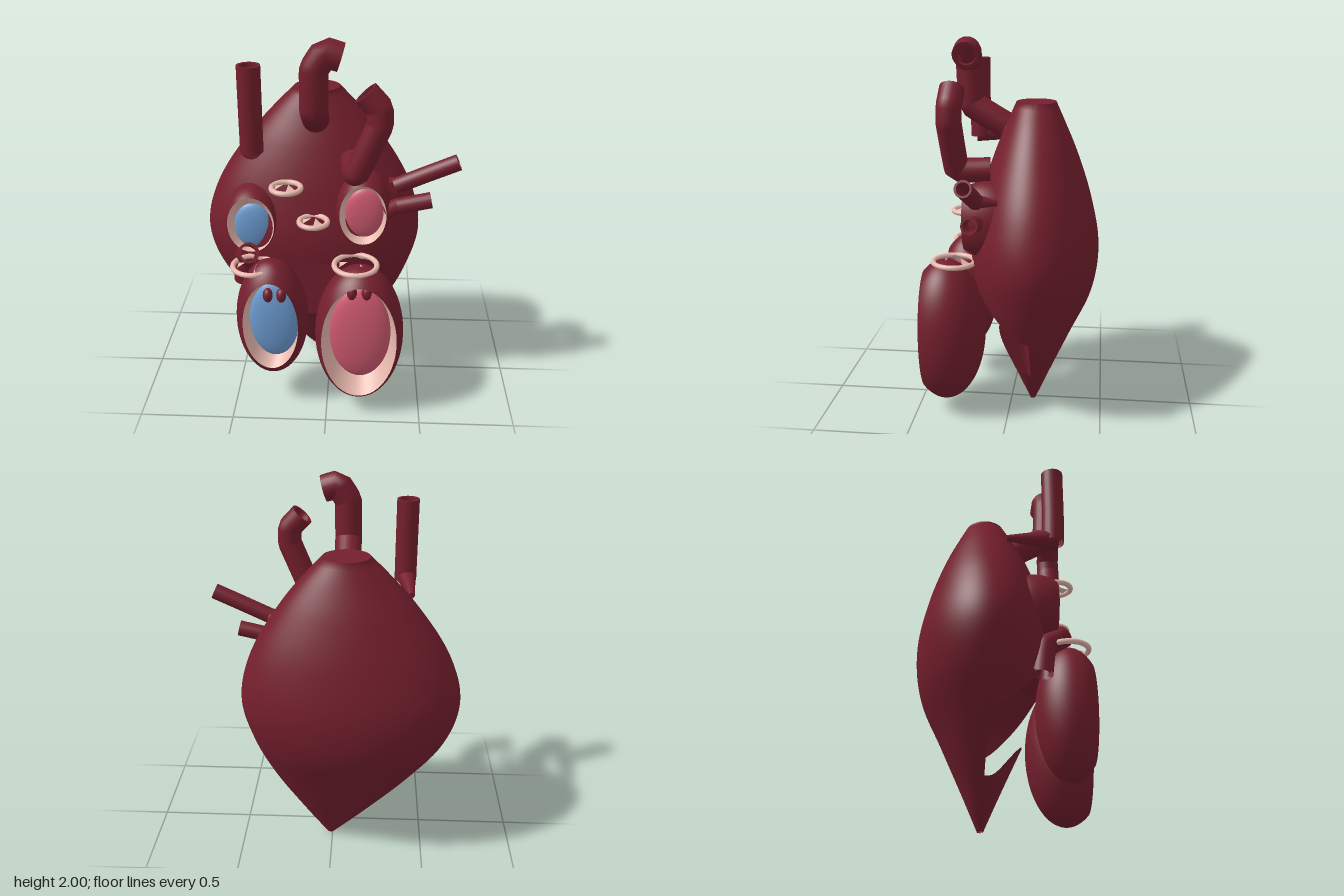
import * as THREE from 'three';
import { ParametricGeometry } from 'three/addons/geometries/ParametricGeometry.js';

const mat = (name, color, side = THREE.FrontSide) => {
  const m = new THREE.MeshStandardMaterial({ color, side });
  m.name = name;
  return m;
};

export function createModel() {
  const model = new THREE.Group();
  const muscle = mat('muscle red', 0x741f2d, THREE.DoubleSide);
  const lining = mat('lining cream', 0xe8b9ae, THREE.DoubleSide);
  const blue = mat('venous blue', 0x6c9bd0);
  const pink = mat('arterial pink', 0xcf5a70);

  const add = (name, geometry, material, parent = model) => {
    const mesh = new THREE.Mesh(geometry, material);
    mesh.name = name;
    parent.add(mesh);
    return mesh;
  };

  // Body profile: centre x, half width and half depth by height
  const heights = [0, 0.18, 0.44, 0.655, 0.88, 1.13, 1.4, 1.55, 1.667];
  const sections = [
    0.01, 0.02, 0.015, -0.02, 0.18, 0.095, -0.06, 0.39, 0.215, -0.09, 0.52, 0.315, -0.095, 0.58, 0.345,
    -0.09, 0.52, 0.303, -0.08, 0.355, 0.218, -0.073, 0.232, 0.156, -0.07, 0.12, 0.105,
  ];
  const spline = new THREE.CubicInterpolant(heights, sections, 3, new Float32Array(3));
  const TOP = 1.667, MID = -0.12;
  const onBody = (angle, y, target) => {
    const [cx, rx, rz] = spline.evaluate(Math.min(y, TOP - 1e-5));
    return target.set(cx + rx * Math.cos(angle), y, MID + rz * Math.sin(angle));
  };

  // Front of the body is cut back to a flat plane between two curved edges
  const upperEdge = (a) => 0.465 + 0.34 * Math.sin(a) ** 2;
  const lowerEdge = (a) => 0.215 + 0.19 * Math.sin(a) ** 3;
  const body = new THREE.Group();
  body.name = 'heartBody';
  model.add(body);
  const patch = (name, nu, nv, f) => add(name, new ParametricGeometry(f, nu, nv), muscle, body);
  patch('bodyBack', 48, 48, (u, v, t) => onBody(Math.PI * (2 - u), v * TOP, t));
  patch('bodyFrontUpper', 48, 40, (u, v, t) => {
    const a = Math.PI * (1 - u), lo = upperEdge(a);
    onBody(a, lo + v * (TOP - lo), t);
  });
  patch('bodyFrontTip', 48, 14, (u, v, t) => {
    const a = Math.PI * (1 - u);
    onBody(a, v * lowerEdge(a), t);
  });
  patch('cutPlane', 8, 20, (u, v, t) => {
    const y = 0.2 + v * 0.62;
    const [cx, rx] = spline.evaluate(y);
    t.set(cx + rx * (2 * u - 1), y, MID);
  });
  patch('cutCeiling', 48, 4, (u, v, t) => {
    const a = Math.PI * (1 - u);
    onBody(a, upperEdge(a), t);
    t.z = MID + (t.z - MID) * v;
  });
  const cap = add('bodyTop', new THREE.CircleGeometry(1, 48).rotateX(-Math.PI / 2), muscle, body);
  cap.scale.set(0.12, 1, 0.105);
  cap.position.set(-0.07, TOP, MID);

  // Chambers: open ellipsoid wall, sloping pale lining and sunken coloured core
  const chamber = (name, centre, radii, cut, core, coreRadii, depth, color) => {
    const g = new THREE.Group();
    g.name = name;
    g.position.set(...centre);
    model.add(g);
    const c = (cut - centre[2]) / radii[2];
    const start = Math.acos(c);
    const wall = new THREE.SphereGeometry(1, 56, 32, 0, Math.PI * 2, start, Math.PI - start);
    add('chamberWall', wall.rotateX(Math.PI / 2), muscle, g).scale.set(...radii);
    const rim = Math.sin(start), front = cut - centre[2];
    const dx = core[0] - centre[0], dy = core[1] - centre[1];
    add('chamberLining', new ParametricGeometry((u, v, t) => {
      const a = u * Math.PI * 2;
      const mix = THREE.MathUtils.lerp;
      t.set(
        mix(radii[0] * rim * Math.cos(a), dx + coreRadii[0] * 0.97 * Math.cos(a), v),
        mix(radii[1] * rim * Math.sin(a), dy + coreRadii[1] * 0.97 * Math.sin(a), v),
        front - depth * v,
      );
    }, 56, 4), lining, g);
    const inner = add('chamberCore', new THREE.SphereGeometry(1, 40, 28), color, g);
    inner.scale.set(coreRadii[0], coreRadii[1], depth * 0.7);
    inner.position.set(dx, dy, front - depth);
  };
  chamber('rightVentricle', [-0.293, 0.518, 0.29], [0.19, 0.342, 0.17], 0.4, [-0.277, 0.525], [0.133, 0.228], 0.075, blue);
  chamber('leftVentricle', [0.17, 0.465, 0.34], [0.232, 0.395, 0.212], 0.455, [0.175, 0.483], [0.161, 0.275], 0.085, pink);
  chamber('rightAtrium', [-0.4, 1.018, 0.11], [0.146, 0.186, 0.19], 0.215, [-0.393, 0.995], [0.098, 0.128], 0.05, blue);
  chamber('leftAtrium', [0.178, 1.09, 0.11], [0.146, 0.2, 0.205], 0.227, [0.185, 1.085], [0.099, 0.137], 0.05, pink);

  // Small muscles at the top of each ventricle core
  for (const [x, y, z] of [[-0.305, 0.69, 0.36], [-0.235, 0.69, 0.36], [0.13, 0.745, 0.405], [0.205, 0.745, 0.405]]) {
    const p = add('papillaryMuscle', new THREE.SphereGeometry(1, 16, 12), muscle);
    p.scale.set(0.026, 0.04, 0.03);
    p.position.set(x, y, z);
  }

  // Vessels: open kinked tubes with an inner wall and a rim at the open end
  const vessel = (name, radius, points) => {
    const curve = new THREE.CatmullRomCurve3(points.map((p) => new THREE.Vector3(...p)), false, 'catmullrom', 0.08);
    add(name, new THREE.TubeGeometry(curve, 40, radius, 24), muscle);
    add(name + 'Lumen', new THREE.TubeGeometry(curve, 40, radius * 0.75, 24), muscle);
    const rim = add(name + 'Rim', new THREE.RingGeometry(radius * 0.75, radius, 24), muscle);
    rim.position.copy(curve.getPoint(1));
    rim.lookAt(rim.position.clone().add(curve.getTangent(1)));
  };
  vessel('aorta', 0.07, [[-0.07, 1.54, 0.04], [-0.068, 1.65, 0.22], [-0.065, 1.85, 0.23], [-0.012, 1.932, 0.23], [0.062, 1.91, 0.23]]);
  vessel('pulmonaryArtery', 0.064, [[0.12, 1.34, 0.1], [0.14, 1.34, 0.27], [0.25, 1.6, 0.288], [0.247, 1.685, 0.285], [0.18, 1.758, 0.28]]);
  vessel('upperVenaCava', 0.058, [[-0.375, 1.43, 0.215], [-0.375, 1.6, 0.22], [-0.375, 1.865, 0.22]]);
  vessel('lowerVenaCava', 0.055, [[-0.46, 0.65, 0.13], [-0.445, 0.8, 0.15], [-0.41, 0.875, 0.25]]);
  vessel('upperPulmonaryVein', 0.042, [[0.34, 1.225, 0.145], [0.5, 1.298, 0.15], [0.65, 1.365, 0.155]]);
  vessel('lowerPulmonaryVein', 0.042, [[0.28, 1.09, 0.18], [0.35, 1.112, 0.15], [0.525, 1.152, 0.15]]);

  // Tapered roots joining vessels to the body
  const root = (name, from, to, thin, thick) => {
    const a = new THREE.Vector3(...from), b = new THREE.Vector3(...to);
    const mesh = add(name, new THREE.CylinderGeometry(thick, thin, a.distanceTo(b), 24), muscle);
    mesh.position.copy(a).lerp(b, 0.5);
    mesh.quaternion.setFromUnitVectors(new THREE.Vector3(0, 1, 0), b.sub(a).normalize());
  };
  root('upperVenaCavaRoot', [-0.4, 1.43, -0.03], [-0.376, 1.45, 0.235], 0.016, 0.055);
  root('upperPulmonaryVeinRoot', [0.32, 1.215, 0.04], [0.35, 1.23, 0.16], 0.014, 0.04);

  // Valves: ring with small triangular leaflets
  const leaflet = new THREE.Shape([[-0.028, 0], [0.028, 0], [0.008, 0.05]].map((p) => new THREE.Vector2(...p)));
  const valve = (name, x, y, z, radius, count) => {
    const g = new THREE.Group();
    g.name = name;
    g.position.set(x, y, z);
    model.add(g);
    add('valveRing', new THREE.TorusGeometry(radius, 0.014, 10, 40).rotateX(Math.PI / 2), lining, g);
    for (let i = 0; i < count; i++) {
      const arm = new THREE.Group();
      arm.rotation.y = (i / count) * Math.PI * 2 + 0.5;
      g.add(arm);
      const leaf = add('valveLeaflet', new THREE.ShapeGeometry(leaflet), lining, arm);
      leaf.position.z = radius * 0.75;
      leaf.rotation.x = -1.1;
    }
  };
  valve('pulmonaryValve', -0.207, 1.252, 0.256, 0.074, 3);
  valve('aorticValve', -0.073, 1.067, 0.256, 0.072, 3);
  valve('rightInletValve', -0.39, 0.812, 0.27, 0.103, 3);
  valve('leftInletValve', 0.145, 0.843, 0.295, 0.11, 3);

  return model;
}
